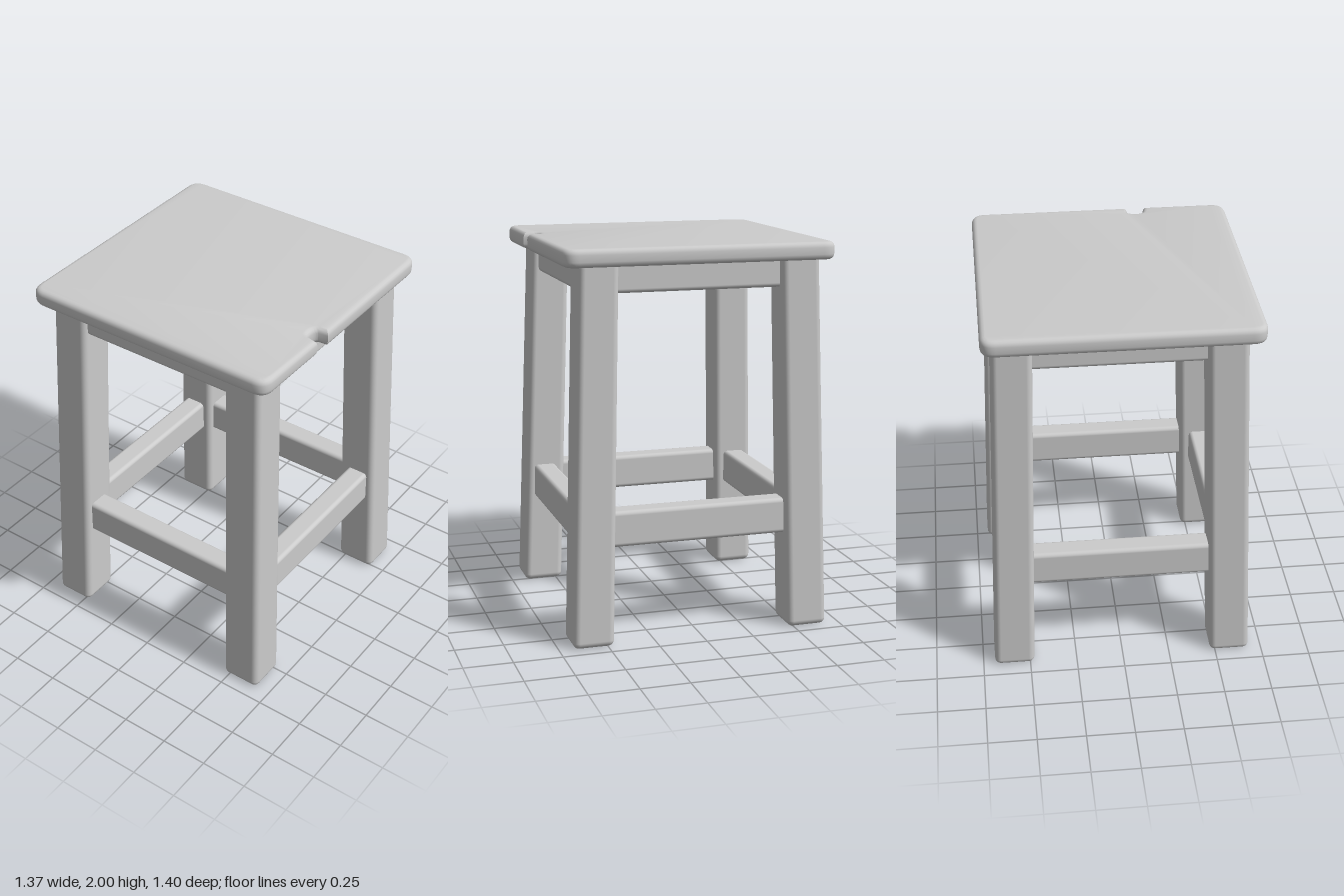
import * as THREE from 'three';
import { toCreasedNormals } from 'three/addons/utils/BufferGeometryUtils.js';
import { RoundedBoxGeometry } from 'three/addons/geometries/RoundedBoxGeometry.js';

const material = new THREE.MeshStandardMaterial({ color: 0xcccccc });

function addMesh(parent, name, geometry) {
  const mesh = new THREE.Mesh(geometry, material);
  mesh.name = name;
  parent.add(mesh);
  return mesh;
}

// Square board with rounded corners, soft edges and a chipped notch in the front edge
function seatGeometry() {
  const l = -0.685, r = 0.683, b = -0.7, f = 0.7, c = 0.075;
  const s = new THREE.Shape();
  s.moveTo(l + c, b);
  s.lineTo(r - c, b);
  s.quadraticCurveTo(r, b, r, b + c);
  s.lineTo(r, f - c);
  s.quadraticCurveTo(r, f, r - c, f);
  s.lineTo(-0.155, f);
  s.lineTo(-0.16, 0.65);
  s.quadraticCurveTo(-0.17, 0.63, -0.2, 0.63);
  s.quadraticCurveTo(-0.23, 0.63, -0.235, 0.65);
  s.lineTo(-0.247, f);
  s.lineTo(l + c, f);
  s.quadraticCurveTo(l, f, l, f - c);
  s.lineTo(l, b + c);
  s.quadraticCurveTo(l, b, l + c, b);
  const bevel = 0.028;
  const g = new THREE.ExtrudeGeometry(s, {
    depth: 0.09 - 2 * bevel, bevelThickness: bevel, bevelSize: bevel,
    bevelOffset: -bevel, bevelSegments: 4, curveSegments: 8,
  });
  g.rotateX(Math.PI / 2).translate(0, 2 - bevel, 0);
  return toCreasedNormals(g, 0.7);
}

// Rounded post, slightly tapered, leaning from its foot to its top centre
const legHeight = 1.94;
function legGeometry(foot, top) {
  const g = new RoundedBoxGeometry(0.212, legHeight, 0.212, 3, 0.032);
  g.translate(0, legHeight / 2, 0);
  const p = g.attributes.position;
  for (let i = 0; i < p.count; i++) {
    const t = p.getY(i) / legHeight;
    const k = 1 - 0.06 * t;
    p.setX(i, p.getX(i) * k + THREE.MathUtils.lerp(foot[0], top[0], t));
    p.setZ(i, p.getZ(i) * k + THREE.MathUtils.lerp(foot[1], top[1], t));
  }
  return g;
}

// Four rails around the frame, each running between neighbouring legs
function addRails(parent, name, y, height, thickness, offset) {
  const length = 2 * offset;
  const ring = new THREE.Group();
  ring.name = name + 's';
  ['front', 'left', 'back', 'right'].forEach((side, i) => {
    const g = new RoundedBoxGeometry(length, height, thickness, 3, 0.022);
    g.translate(0, y, offset).rotateY(i * Math.PI / 2);
    addMesh(ring, side + name, g);
  });
  parent.add(ring);
}

export function createModel() {
  const stool = new THREE.Group();
  stool.name = 'stool';

  addMesh(stool, 'seat', seatGeometry());

  // Splayed legs
  for (const [sx, xName] of [[1, 'Left'], [-1, 'Right']]) {
    for (const [sz, zName] of [[1, 'front'], [-1, 'back']]) {
      const footX = sx > 0 ? 0.583 : -0.577, topX = sx > 0 ? 0.533 : -0.507;
      const footZ = sz * 0.573, topZ = sz > 0 ? 0.515 : -0.525;
      addMesh(stool, zName + xName + 'Leg', legGeometry([footX, footZ], [topX, topZ]));
    }
  }

  addRails(stool, 'Apron', 1.85, 0.16, 0.11, 0.53);
  addRails(stool, 'Stretcher', 0.588, 0.185, 0.12, 0.56);

  return stool;
}
